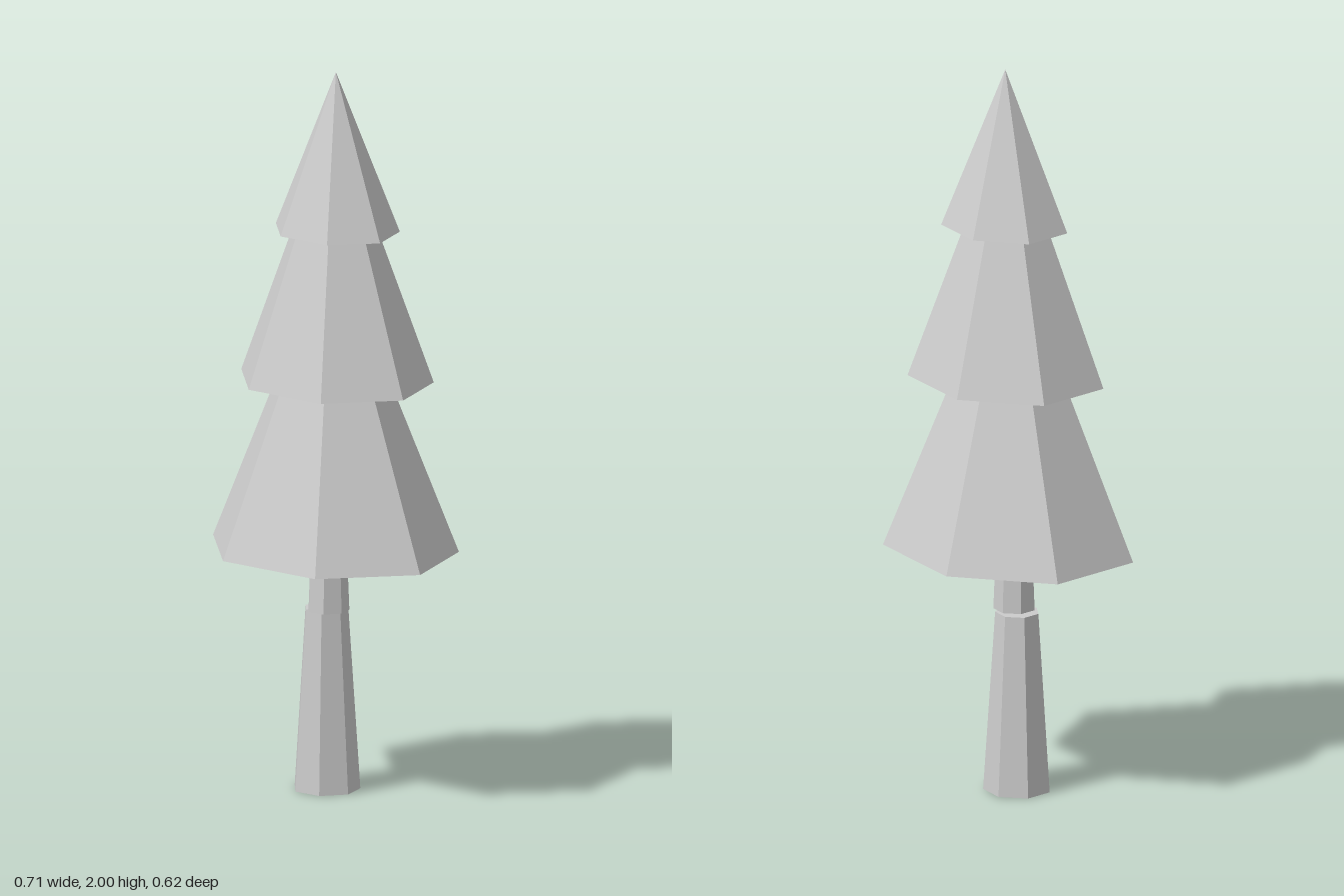
import * as THREE from 'three';

const SIDES = 7;

export function createModel() {
  const tree = new THREE.Group();
  tree.name = 'pineTree';
  const material = new THREE.MeshStandardMaterial({ color: 0xcccccc, flatShading: true });

  // Tapered seven-sided section with one corner towards +x;
  // rx and rz are the base radii, taper is top radius / base radius.
  function section(name, y0, y1, cx, cz, rx, rz, taper) {
    const geometry = new THREE.CylinderGeometry(taper, 1, y1 - y0, SIDES, 1, false, Math.PI / 2);
    geometry.scale(rx, 1, rz);
    const mesh = new THREE.Mesh(geometry, material);
    mesh.name = name;
    mesh.position.set(cx, (y0 + y1) / 2, cz);
    tree.add(mesh);
  }

  // Trunk: wide lower part, then a slimmer, offset neck
  section('lowerTrunk', 0, 0.5, -0.07, -0.02, 0.094, 0.091, 0.65);
  section('upperTrunk', 0.5, 0.672, -0.043, -0.005, 0.058, 0.057, 0.88);

  // Foliage: three stacked tiers, each drifting slightly towards the tip
  section('bottomFoliage', 0.671, 1.143, -0.019, 0, 0.374, 0.318, 0.452);
  section('middleFoliage', 1.143, 1.562, 0.003, 0.01, 0.292, 0.25, 0.435);
  section('topFoliage', 1.562, 2, 0.02, 0.019, 0.188, 0.161, 0);

  return tree;
}
